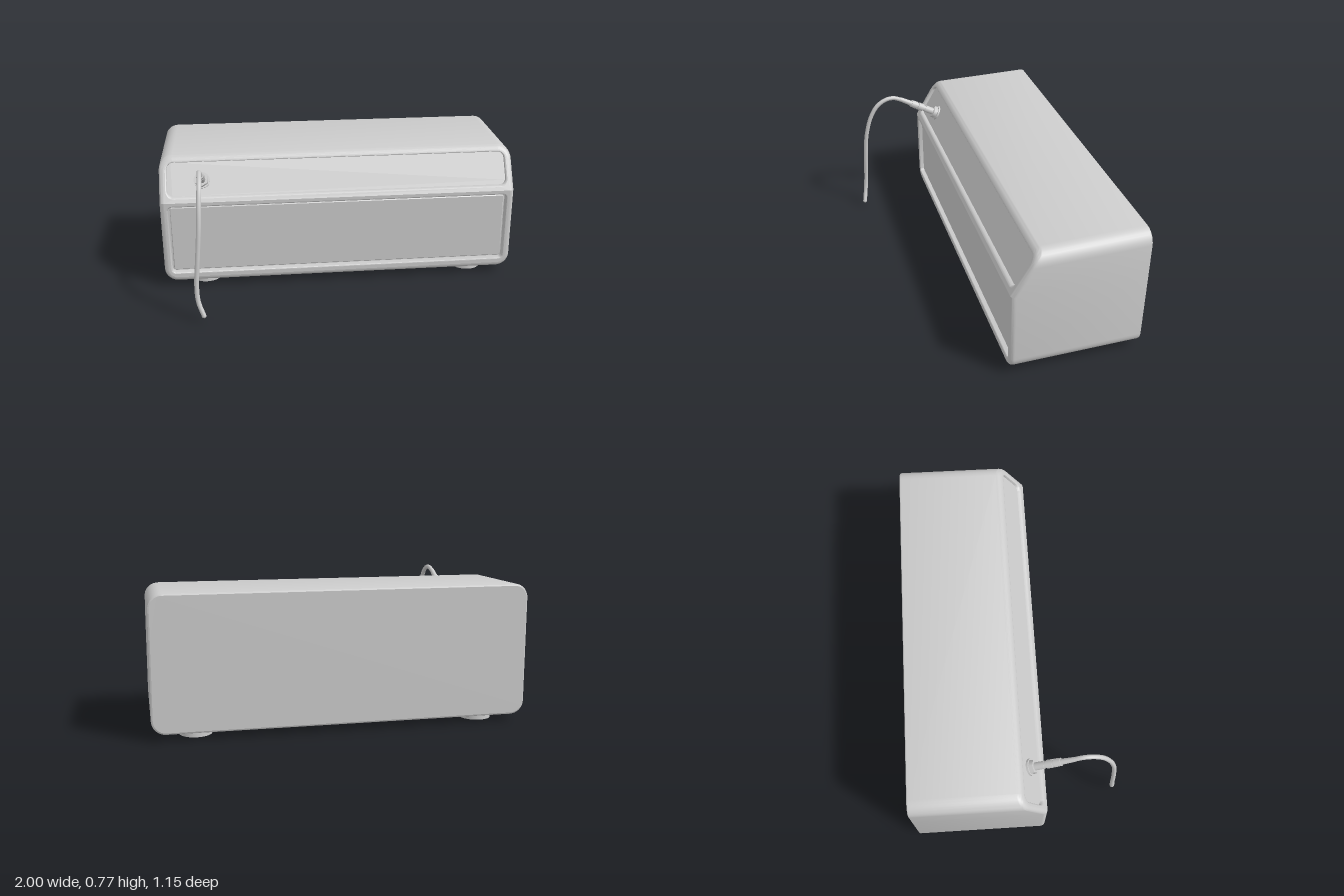
import * as THREE from 'three';
import { toCreasedNormals } from 'three/addons/utils/BufferGeometryUtils.js';

const grey = new THREE.MeshStandardMaterial({ color: 0xcccccc });
const SEG = 8;              // segments per rounded corner
const KINK = 0.51;          // height where the front starts leaning back
const FRONT = 0.145, BACK = -0.575;
const frontZ = (y) => FRONT - 0.6 * Math.max(0, y - KINK);

// Counter-clockwise rounded rectangle, with a side point at height mid
function outline(hw, y0, y1, r, inset = 0, mid = (y0 + y1) / 2) {
  const pts = [new THREE.Vector2(hw - inset, mid)];
  const rr = Math.max(r - inset, 0.002);
  const corner = (sx, sy, start) => {
    const cx = sx * (hw - inset - rr);
    const cy = sy > 0 ? y1 - inset - rr : y0 + inset + rr;
    for (let i = 0; i <= SEG; i++) {
      const a = start + (i / SEG) * Math.PI / 2;
      pts.push(new THREE.Vector2(cx + rr * Math.cos(a), cy + rr * Math.sin(a)));
    }
  };
  corner(1, 1, 0);
  corner(-1, 1, Math.PI / 2);
  pts.push(new THREE.Vector2(-hw + inset, mid));
  corner(-1, -1, Math.PI);
  corner(1, -1, Math.PI * 1.5);
  return pts;
}

const onFront = (pts, dz) => pts.map((p) => new THREE.Vector3(p.x, p.y, frontZ(p.y) + dz));

// Skin through closed rings of equal point count
function loft(rings, crease = 0.5) {
  const n = rings[0].length, index = [];
  for (let i = 0; i < rings.length - 1; i++) {
    for (let j = 0; j < n; j++) {
      const k = (j + 1) % n, a = i * n, b = a + n;
      index.push(a + j, a + k, b + j, a + k, b + k, b + j);
    }
  }
  const geo = new THREE.BufferGeometry().setFromPoints(rings.flat());
  geo.setIndex(index);
  return toCreasedNormals(geo, crease);
}

// Flat face laid on the front profile
function frontFace(pts, dz, holes = []) {
  const shape = new THREE.Shape(pts);
  holes.forEach((h) => shape.holes.push(new THREE.Path(h)));
  const geo = new THREE.ShapeGeometry(shape);
  const pos = geo.attributes.position;
  for (let i = 0; i < pos.count; i++) pos.setZ(i, frontZ(pos.getY(i)) + dz);
  geo.computeVertexNormals();
  return geo;
}

export function createModel() {
  const model = new THREE.Group();
  const add = (name, geo, parent = model) => {
    const mesh = new THREE.Mesh(geo, grey);
    mesh.name = name;
    parent.add(mesh);
    return mesh;
  };

  // Cabinet shell: soft rounded front edge, tight back edge
  const body = (inset, top = 0.742) => outline(1, 0.035, top, 0.075, inset, KINK);
  const atBack = (inset, z) => body(inset, 0.75).map((p) => new THREE.Vector3(p.x, p.y, z));
  const R = 0.025;
  const rings = [atBack(0.01, BACK), atBack(0.003, BACK + 0.003), atBack(0, BACK + 0.01)];
  for (let i = 0; i <= 6; i++) {
    const a = (i / 6) * Math.PI / 2;
    rings.push(onFront(body(R * (1 - Math.cos(a))), -R * (1 - Math.sin(a))));
  }
  add('cabinetShell', loft(rings));

  // Back panel
  const back = new THREE.ShapeGeometry(new THREE.Shape(body(0.01, 0.75)));
  back.rotateY(Math.PI).translate(0, 0, BACK);
  add('backPanel', back);

  // Two openings in the front: sloped control panel and speaker grille
  const control = (inset) => outline(0.957, 0.537, 0.705, 0.035, inset);
  const grille = (inset) => outline(0.957, 0.088, 0.485, 0.022, inset);
  const LIP = 0.008;
  const face = body(R), half = 2 * SEG + 3;
  add('upperFrontFrame', frontFace(face.slice(0, half + 1), 0, [control(-LIP)]));
  add('lowerFrontFrame', frontFace([...face.slice(half), face[0]], 0, [grille(-LIP)]));

  const lip = (shape) => [0, 1, 2, 3].map((i) => {
    const a = (i / 3) * Math.PI / 2;
    return onFront(shape(-LIP * (1 - Math.sin(a))), -LIP * (1 - Math.cos(a)));
  });
  add('controlPanelSurround', loft([...lip(control), onFront(control(0), -0.02)]));
  add('controlPanel', frontFace(control(0), -0.02));

  // Grille sits behind a narrow groove
  add('grilleSurround', loft([
    ...lip(grille),
    onFront(grille(0), -0.04),
    onFront(grille(0.009), -0.04),
    onFront(grille(0.009), -0.027),
    onFront(grille(0.013), -0.023),
  ]));
  add('speakerGrille', frontFace(grille(0.013), -0.023));

  // Feet
  for (const x of [-0.77, 0.77]) {
    for (const z of [0.01, -0.44]) {
      add('foot', new THREE.CylinderGeometry(0.085, 0.085, 0.04, 32)).position.set(x, 0.02, z);
    }
  }

  // Input jack and plug, turned on one axis square to the control panel
  const jack = new THREE.Group();
  jack.name = 'jackAndPlug';
  jack.position.set(-0.765, 0.612, 0.066);
  jack.rotation.x = Math.PI / 2 - 0.51;
  model.add(jack);
  const ring = (name, r0, r1, from, to, sides = 20) => {
    add(name, new THREE.CylinderGeometry(r1, r0, to - from, sides), jack).position.y = (from + to) / 2;
  };
  ring('jackWasher', 0.045, 0.045, -0.02, 0.008, 28);
  ring('jackNut', 0.04, 0.037, 0.008, 0.03, 6);
  ring('plugCollar', 0.021, 0.021, 0.02, 0.085);
  ring('plugBand', 0.018, 0.018, 0.085, 0.1);
  ring('plugBarrel', 0.023, 0.023, 0.1, 0.135);
  ring('plugBand', 0.019, 0.019, 0.135, 0.145);
  ring('plugTail', 0.023, 0.021, 0.145, 0.182);
  ring('strainRelief', 0.016, 0.013, 0.182, 0.26);

  // Hanging cable
  const path = new THREE.CatmullRomCurve3([
    [-0.765, 0.731, 0.28], [-0.762, 0.754, 0.335], [-0.76, 0.75, 0.385], [-0.76, 0.715, 0.44],
    [-0.764, 0.64, 0.485], [-0.77, 0.52, 0.518], [-0.784, 0.36, 0.533], [-0.798, 0.2, 0.54],
    [-0.793, 0.11, 0.55], [-0.768, 0.035, 0.565],
  ].map((p) => new THREE.Vector3(...p)));
  add('cable', new THREE.TubeGeometry(path, 80, 0.0125, 12));
  const end = add('cableEnd', new THREE.SphereGeometry(0.0125, 12, 8));
  end.position.copy(path.getPoint(1));

  return model;
}
